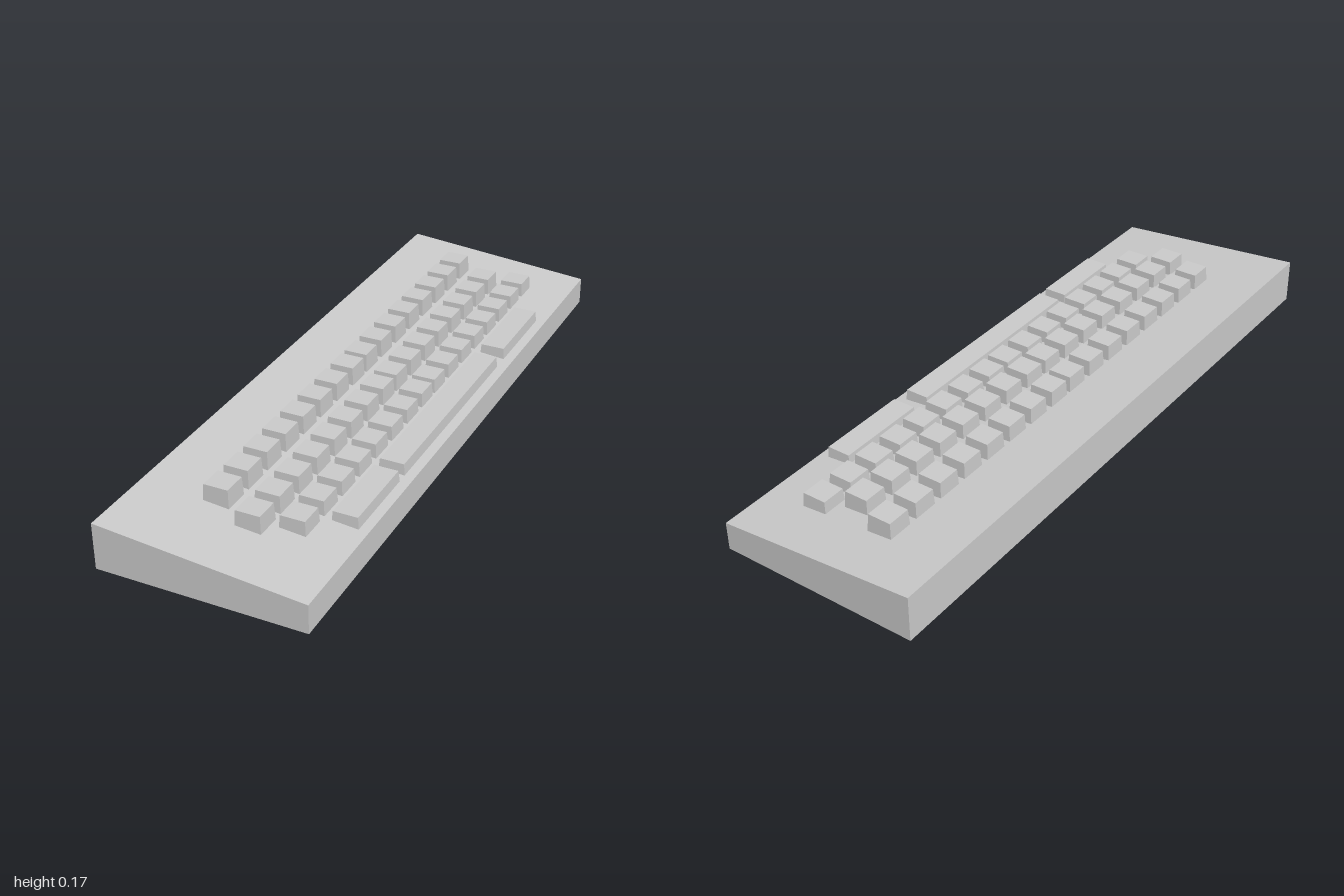
import * as THREE from 'three';

const material = new THREE.MeshStandardMaterial({ color: 0xcccccc, flatShading: true });

// Case dimensions: the top slopes down towards +x
const HALF_W = 0.306, LENGTH = 2, HIGH = 0.139, LOW = 0.086;
const caseTop = (x) => HIGH + (LOW - HIGH) * (x + HALF_W) / (2 * HALF_W);

const KEY = 0.078, TAPER = 0.003;

// Keycap: a box whose upper face is drawn in, sunk slightly into the case
function keycap(name, x, top, z, length = KEY) {
  const bottom = caseTop(x + KEY / 2) - 0.004;
  const g = new THREE.BoxGeometry(KEY, top - bottom, length);
  const p = g.attributes.position;
  for (let i = 0; i < p.count; i++) {
    if (p.getY(i) > 0) {
      p.setX(i, p.getX(i) - Math.sign(p.getX(i)) * TAPER);
      p.setZ(i, p.getZ(i) - Math.sign(p.getZ(i)) * TAPER);
    }
  }
  g.computeVertexNormals();
  const mesh = new THREE.Mesh(g, material);
  mesh.name = name;
  mesh.position.set(x, (top + bottom) / 2, z);
  return mesh;
}

export function createModel() {
  const model = new THREE.Group();
  model.name = 'keyboard';

  // Wedge-shaped case
  const profile = new THREE.Shape([
    new THREE.Vector2(-HALF_W, 0),
    new THREE.Vector2(HALF_W, 0),
    new THREE.Vector2(HALF_W, LOW),
    new THREE.Vector2(-HALF_W, HIGH),
  ]);
  const caseGeometry = new THREE.ExtrudeGeometry(profile, { depth: LENGTH, bevelEnabled: false });
  caseGeometry.translate(0, 0, -LENGTH / 2);
  const body = new THREE.Mesh(caseGeometry, material);
  body.name = 'case';
  model.add(body);

  // Three rows of square keys, each made of two runs of eight
  const rows = [
    { name: 'upperKeyRow', x: -0.083, top: 0.171, start: -0.802 },
    { name: 'middleKeyRow', x: 0.039, top: 0.157, start: -0.751 },
    { name: 'lowerKeyRow', x: 0.139, top: 0.14, start: -0.802 },
  ];
  for (const { name, x, top, start } of rows) {
    const row = new THREE.Group();
    row.name = name;
    for (let run = 0; run < 2; run++) {
      for (let i = 0; i < 8; i++) {
        row.add(keycap('key', x, top, start + run * 0.812 + i * 0.1028));
      }
    }
    model.add(row);
  }

  // Long bars along the low edge
  const bars = new THREE.Group();
  bars.name = 'barRow';
  for (const [name, z0, z1] of [
    ['rightBar', -0.632, -0.343],
    ['spaceBar', -0.29, 0.39],
    ['leftBar', 0.42, 0.671],
  ]) {
    bars.add(keycap(name, 0.239, 0.122, (z0 + z1) / 2, z1 - z0));
  }
  model.add(bars);

  return model;
}
